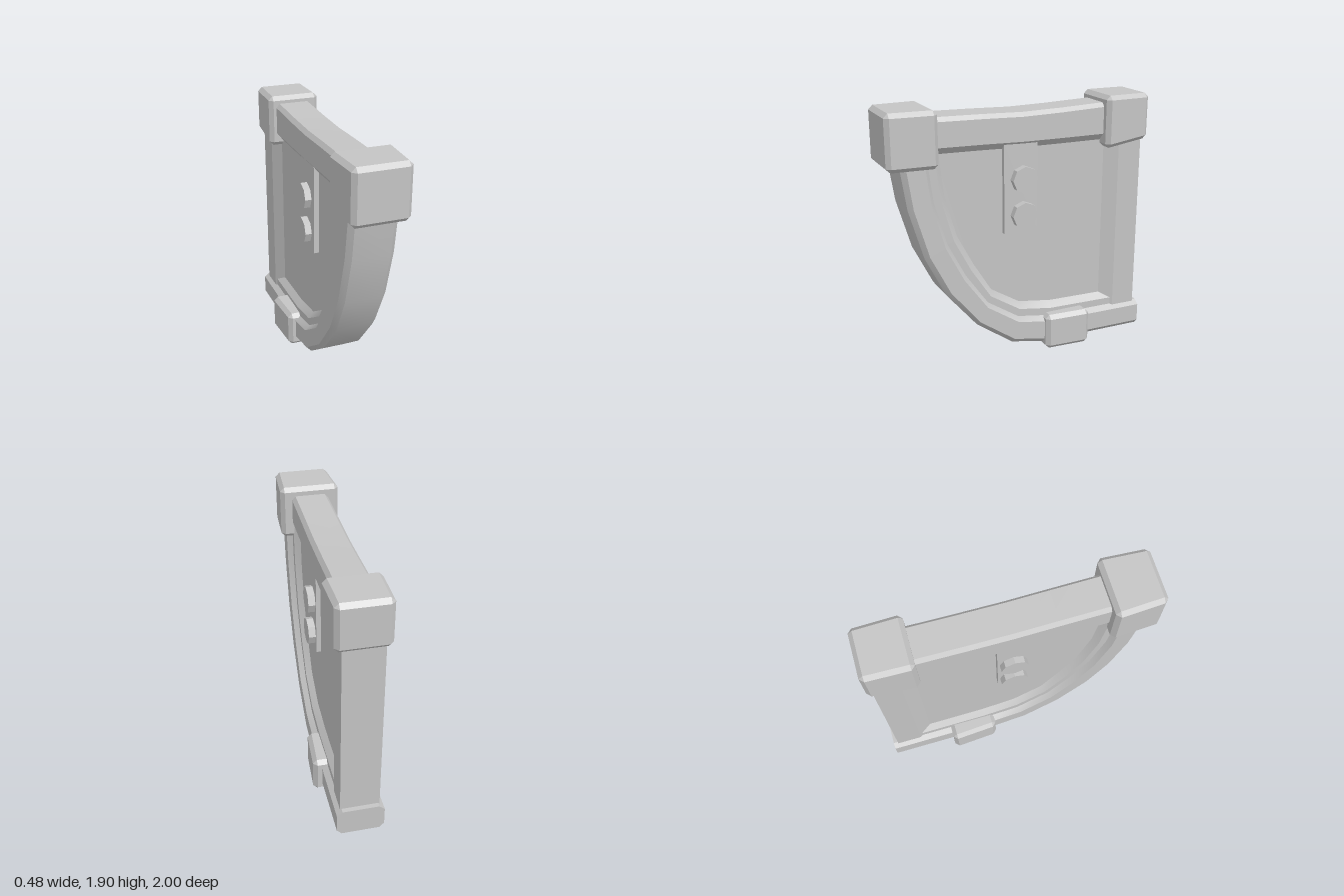
import * as THREE from 'three';
import { toCreasedNormals } from 'three/addons/utils/BufferGeometryUtils.js';
import { ConvexGeometry } from 'three/addons/geometries/ConvexGeometry.js';

const stone = new THREE.MeshStandardMaterial({ color: 0xc4c4c4 });
stone.name = 'grey stone';

// Skin a list of equal closed loops of [x, y, z] and cap both ends
function loft(loops) {
  const n = loops[0].length, idx = [];
  for (let i = 0; i < loops.length - 1; i++) {
    for (let j = 0; j < n; j++) {
      const k = (j + 1) % n, a = i * n, b = a + n;
      idx.push(a + j, b + j, b + k, a + j, b + k, a + k);
    }
  }
  const last = (loops.length - 1) * n;
  for (let j = 1; j < n - 1; j++) {
    idx.push(0, j, j + 1, last, last + j + 1, last + j);
  }
  const g = new THREE.BufferGeometry();
  g.setAttribute('position', new THREE.Float32BufferAttribute(loops.flat(2), 3));
  g.setIndex(idx);
  return toCreasedNormals(g, 0.45);
}

// Box with chamfered edges; half-width and underside may change from back to front
function chamferBox({ x = 0, y0, y1, z0, z1, wBack, wFront, liftBack = 0, c = 0.03 }) {
  const pts = [];
  for (const sx of [-1, 1]) for (const top of [0, 1]) for (const front of [0, 1]) {
    const w = front ? wFront : wBack;
    const y = top ? y1 : y0 + (front ? 0 : liftBack);
    const z = front ? z1 : z0;
    const dy = top ? -c : c, dz = front ? -c : c;
    pts.push(
      new THREE.Vector3(x + sx * w, y + dy, z + dz),
      new THREE.Vector3(x + sx * (w - c), y, z + dz),
      new THREE.Vector3(x + sx * (w - c), y + dy, z),
    );
  }
  return new ConvexGeometry(pts);
}

// Outer and inner edges of the curved rim as [z, y], from the top front down and back
const outer = [[0.91, 1.6], [0.855, 1.23], [0.75, 0.87], [0.6, 0.57], [0.37, 0.295], [0.09, 0.095], [-0.17, 0.042], [-1, 0.03]];
const inner = [[0.61, 1.6], [0.575, 1.28], [0.49, 0.98], [0.37, 0.75], [0.235, 0.53], [0.01, 0.39], [-0.25, 0.35], [-1, 0.335]];
const between = (i, t) => [0, 1].map((k) => outer[i][k] + (inner[i][k] - outer[i][k]) * t);

// Sweep a half profile of [inset, x], mirrored about the rim's middle, along the rim
function rim(half, endZ) {
  const profile = [...half, ...half.map(([d, x]) => [d, -x]).reverse()];
  return loft(outer.map((_, i) => profile.map(([d, x]) => {
    const [z, y] = between(i, d / 0.3);
    return [x + 0.005, y, Math.max(z, endZ)];
  })));
}

const panelX = 0.087;

export function createModel() {
  const model = new THREE.Group();
  model.name = 'bracket';
  const add = (name, geometry) => {
    const mesh = new THREE.Mesh(geometry, stone);
    mesh.name = name;
    model.add(mesh);
    return mesh;
  };

  // Curved rim and the lower step inside it
  add('curvedRim', rim([[0, 0.135], [0.035, 0.17], [0.168, 0.17], [0.2, 0.13]], -1));
  add('innerStep', rim([[0.15, 0.13], [0.255, 0.13], [0.3, panelX]], -0.8));

  // Web filling the frame
  const web = [...inner.slice(0, -1).map((_, i) => between(i, 0.9)), [-0.8, 0.32], [-0.8, 1.65], [0.6, 1.65]];
  add('webPanel', loft([panelX, -panelX].map((x) => web.map(([z, y]) => [x + 0.005, y, z]))));

  // Back post with sloped inner sides
  const post = [[panelX, -0.68], [0.14, -0.78], [0.14, -0.966], [-0.14, -0.966], [-0.14, -0.78], [-panelX, -0.68]];
  add('backPost', loft([1.6, 0.1].map((y) => post.map(([x, z]) => [x + 0.005, y, z]))));

  // Top beam, sagging a little in the middle
  const beam = [[0.75, 1.84, 1.58], [0.3, 1.83, 1.57], [0, 1.82, 1.56], [-0.3, 1.825, 1.557], [-0.75, 1.84, 1.555]];
  add('topBeam', loft(beam.map(([z, top, low]) => [
    [-panelX, low, z], [panelX, low, z], [0.14, low + 0.055, z], [0.14, top - 0.03, z],
    [0.115, top, z], [-0.105, top, z], [-0.13, top - 0.03, z], [-0.13, low + 0.055, z],
  ])));

  // Chamfered blocks at the joints
  add('frontTopBlock', chamferBox({ x: 0.007, y0: 1.51, y1: 1.9, z0: 0.645, z1: 1, wBack: 0.217, wFront: 0.2 }));
  add('backTopBlock', chamferBox({ x: 0.01, y0: 1.51, y1: 1.89, z0: -1, z1: -0.645, wBack: 0.185, wFront: 0.192, liftBack: 0.04 }));
  add('bottomBlock', chamferBox({ y0: 0, y1: 0.275, z0: -0.525, z1: -0.17, wBack: 0.238, wFront: 0.218 }));

  // Hanging plate with bolts passing through both sides
  const plate = [[0.14, 1.62], [0.14, 0.952], [-0.118, 0.965], [-0.118, 1.62]];
  add('boltPlate', loft([0.125, -0.12].map((x) => plate.map(([z, y]) => [x, y, z]))));
  for (const y of [1.348, 1.085]) {
    const bolt = add('bolt', toCreasedNormals(new THREE.CylinderGeometry(0.097, 0.097, 0.342, 8), 0.3));
    bolt.rotation.z = Math.PI / 2;
    bolt.position.set(0.004, y, -0.005);
  }
  return model;
}
